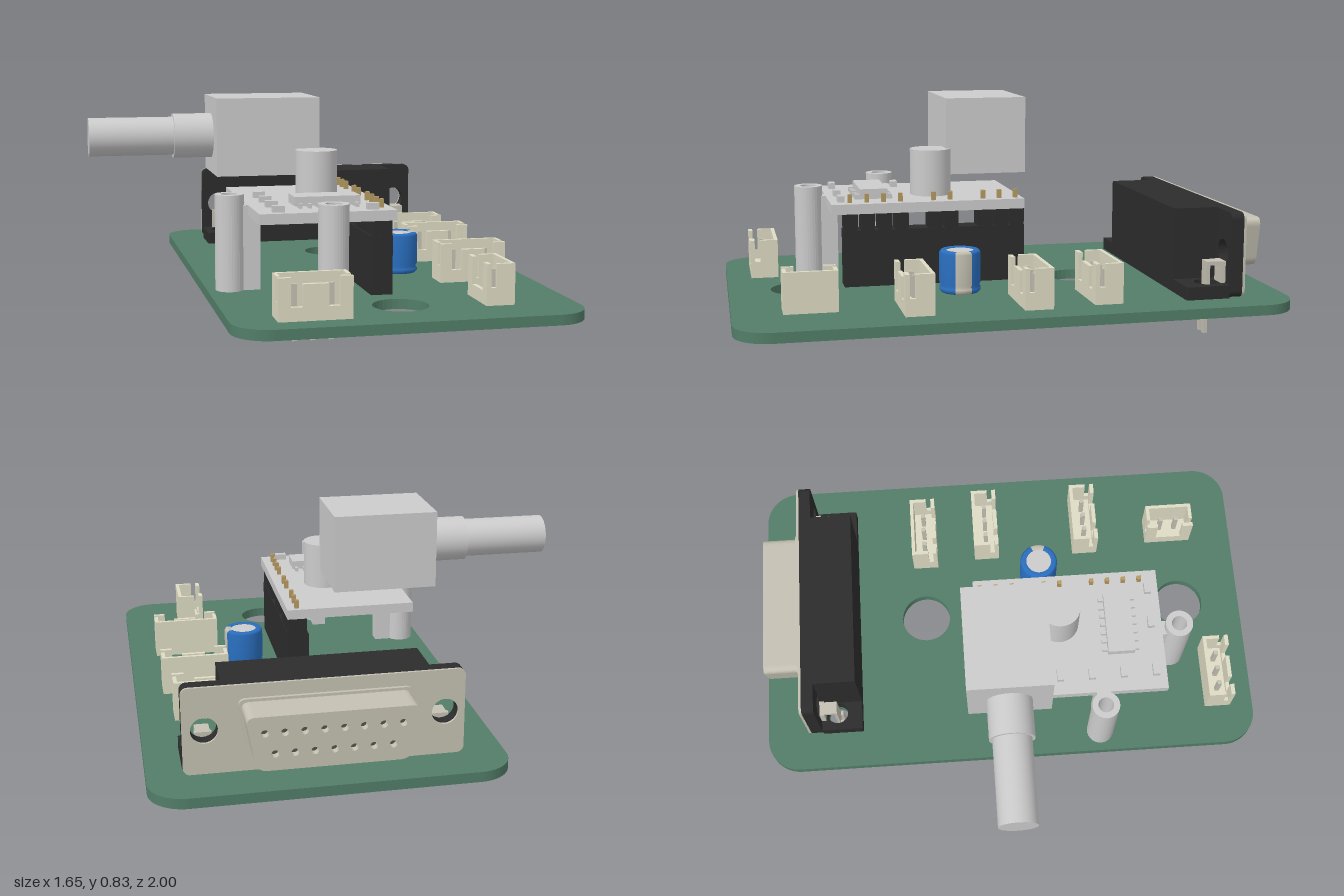
import * as THREE from 'three';

const mat = (color) => new THREE.MeshStandardMaterial({ color });
const GREY = mat(0xcccccc), GREEN = mat(0x527d68), BLACK = mat(0x2c2c2c), CREAM = mat(0xdedcc4);
const METAL = mat(0xc4c0b2), GOLD = mat(0xb59a62), BLUE = mat(0x2a6fc0), DARK = mat(0x55534c);
const TOP = 0.137; // upper face of the base board

function add(parent, name, geometry, material) {
  const mesh = new THREE.Mesh(geometry, material);
  mesh.name = name;
  parent.add(mesh);
  return mesh;
}

// Box given by its limits on each axis
function box(parent, name, material, x0, x1, y0, y1, z0, z1) {
  const mesh = add(parent, name, new THREE.BoxGeometry(x1 - x0, y1 - y0, z1 - z0), material);
  mesh.position.set((x0 + x1) / 2, (y0 + y1) / 2, (z0 + z1) / 2);
  return mesh;
}

// Square pin, centred on x, z
function pin(parent, material, x, z, y0, y1, w = 0.016) {
  return box(parent, 'pin', material, x - w / 2, x + w / 2, y0, y1, z - w / 2, z + w / 2);
}

function cylinder(parent, name, material, r, x, z, y0, y1) {
  const mesh = add(parent, name, new THREE.CylinderGeometry(r, r, y1 - y0, 40), material);
  mesh.position.set(x, (y0 + y1) / 2, z);
  return mesh;
}

function roundedRect(x0, x1, y0, y1, r) {
  const s = new THREE.Shape();
  s.absarc(x1 - r, y1 - r, r, 0, Math.PI / 2);
  s.absarc(x0 + r, y1 - r, r, Math.PI / 2, Math.PI);
  s.absarc(x0 + r, y0 + r, r, Math.PI, Math.PI * 1.5);
  s.absarc(x1 - r, y0 + r, r, Math.PI * 1.5, Math.PI * 2);
  s.closePath();
  return s;
}

function punch(shape, x, y, r) {
  shape.holes.push(new THREE.Path().absarc(x, y, r, 0, Math.PI * 2, true));
}

const extrude = (shape, depth) => new THREE.ExtrudeGeometry(shape, { depth, bevelEnabled: false, curveSegments: 16 });

// Horizontal slab: shape y is -z
function slab(parent, name, material, shape, y0, y1) {
  const mesh = add(parent, name, extrude(shape, y1 - y0).rotateX(-Math.PI / 2), material);
  mesh.position.y = y0;
  return mesh;
}

// Upright plate in the xy plane
function plate(parent, name, material, shape, z0, z1) {
  const mesh = add(parent, name, extrude(shape, z1 - z0), material);
  mesh.position.z = z0;
  return mesh;
}

const POSTS = [{ x: -0.34, z: 0.36, turn: 0 }, { x: -0.025, z: 0.68, turn: Math.PI / 2 }];
const SCREWS = [-0.21, 0.62];

function makeBoard(root) {
  const s = roundedRect(-0.425, 0.82, -1, 1, 0.13);
  punch(s, 0.2, 0.33, 0.1);
  punch(s, 0.2, -0.745, 0.1);
  POSTS.forEach((p) => punch(s, p.x, -p.z, 0.03));
  SCREWS.forEach((x) => punch(s, x, 0.71, 0.042));
  slab(root, 'baseBoard', GREEN, s, 0.1, TOP);
}

// Shrouded header with a slotted front wall (front is +z)
function makeHeader(root, x, z, pins, turn = 0) {
  const g = new THREE.Group();
  g.name = 'wireConnector';
  g.position.set(x, 0, z);
  g.rotation.y = turn;
  root.add(g);
  const w = (pins * 0.064 + 0.064) / 2, t = 0.014, y1 = 0.285;
  box(g, 'floor', CREAM, -w, w, TOP, 0.165, -0.052, 0.052);
  box(g, 'backWall', CREAM, -w, w, 0.165, y1, -0.052, -0.052 + t);
  for (const s of [-1, 1]) {
    const cx = s * (w - t / 2);
    box(g, 'sideWall', CREAM, cx - t / 2, cx + t / 2, 0.165, y1, -0.038, 0.016);
    box(g, 'sideWallLower', CREAM, cx - t / 2, cx + t / 2, 0.165, 0.2, 0.016, 0.038);
    box(g, 'frontCorner', CREAM, s * (w - 0.022) - 0.022, s * (w - 0.022) + 0.022, 0.165, y1, 0.036, 0.052);
  }
  box(g, 'frontSill', CREAM, -w + 0.04, w - 0.04, 0.165, 0.185, 0.036, 0.052);
  if (pins > 2) box(g, 'frontMiddle', CREAM, -0.045, 0.045, 0.185, 0.262, 0.036, 0.052);
  for (let i = 0; i < pins; i++) pin(g, METAL, (i - (pins - 1) / 2) * 0.064, 0, 0.06, 0.255, 0.017);
}

function makePortConnector(root) {
  const g = new THREE.Group();
  g.name = 'portConnector';
  root.add(g);
  const flange = () => {
    const s = roundedRect(-0.28, 0.695, TOP, 0.45, 0.025);
    SCREWS.forEach((x) => punch(s, x, 0.295, 0.047));
    return s;
  };
  plate(g, 'flange', BLACK, flange(), -0.822, -0.775);
  plate(g, 'metalFace', METAL, flange(), -0.832, -0.822);
  box(g, 'housing', BLACK, -0.165, 0.555, TOP, 0.45, -0.775, -0.61);
  SCREWS.forEach((x) => {
    const [x0, x1] = x < 0 ? [-0.28, -0.165] : [0.555, 0.695];
    const foot = roundedRect(x0, x1, 0.61, 0.775, 0.004);
    punch(foot, x, 0.71, 0.042);
    slab(g, 'foot', BLACK, foot, TOP, 0.185);
    // Board clip with two prongs
    box(g, 'clip', METAL, x - 0.03, x + 0.03, 0.185, 0.265, -0.775, -0.757);
    box(g, 'clipTop', METAL, x - 0.025, x + 0.025, 0.25, 0.265, -0.775, -0.705);
    box(g, 'clipFront', METAL, x - 0.025, x + 0.025, 0.1, 0.25, -0.717, -0.705);
    for (const s of [-1, 1]) box(g, 'clipProng', METAL, x + s * 0.019 - 0.009, x + s * 0.019 + 0.009, 0, 0.12, -0.71, -0.694);
  });
  // D-shaped shell, wider at the top
  const dShape = (grow) => {
    const cx = 0.205, a = 0.295 + grow, b = 0.258 + grow, y0 = 0.2 - grow, y1 = 0.392 + grow, r = 0.035;
    const s = new THREE.Shape();
    s.moveTo(cx - b + r, y0);
    s.lineTo(cx + b - r, y0);
    s.quadraticCurveTo(cx + b, y0, cx + b + 0.007, y0 + r);
    s.lineTo(cx + a - 0.007, y1 - r);
    s.quadraticCurveTo(cx + a, y1, cx + a - r, y1);
    s.lineTo(cx - a + r, y1);
    s.quadraticCurveTo(cx - a, y1, cx - a + 0.007, y1 - r);
    s.lineTo(cx - b - 0.007, y0 + r);
    s.quadraticCurveTo(cx - b, y0, cx - b + r, y0);
    return s;
  };
  const sockets = [];
  for (const [n, y, z] of [[8, 0.333, -0.625], [7, 0.259, -0.7]]) {
    for (let i = 0; i < n; i++) {
      const x = 0.205 + (i - (n - 1) / 2) * 0.066;
      sockets.push([x, y]);
      pin(g, METAL, x, z, 0.04, TOP);
    }
  }
  const shell = dShape(0);
  sockets.forEach(([x, y]) => punch(shell, x, y, 0.013));
  plate(g, 'shell', METAL, shell, -0.978, -0.84);
  plate(g, 'shellCollar', METAL, dShape(0.01), -0.845, -0.832);
  plate(g, 'socketBottom', DARK, dShape(-0.01), -0.95, -0.85);
}

function makeModule(root) {
  const g = new THREE.Group();
  g.name = 'controlModule';
  root.add(g);
  box(g, 'moduleBoard', GREY, -0.275, 0.225, 0.415, 0.453, -0.125, 0.615);
  // Socket strip and its pins
  box(g, 'socketStrip', BLACK, 0.142, 0.222, TOP, 0.352, -0.125, 0.57);
  for (let i = 0; i < 11; i++) {
    const z = -0.098 + i * 0.064;
    pin(g, GOLD, 0.185, z, 0.06, 0.11);
    if (i === 3 || i === 6) continue;
    box(g, 'pinBlock', BLACK, 0.148, 0.22, 0.352, 0.415, z - 0.026, z + 0.026);
    pin(g, GOLD, 0.185, z, 0.44, 0.485);
  }
  // Posts with eyelets and a ledge carrying the module
  POSTS.forEach(({ x, z, turn }) => {
    const p = new THREE.Group();
    p.name = 'supportPost';
    p.position.set(x, 0, z);
    p.rotation.y = turn;
    g.add(p);
    const ring = new THREE.Shape().absarc(0, 0, 0.054, 0, Math.PI * 2);
    punch(ring, 0, 0, 0.03);
    slab(p, 'postTube', GREY, ring, TOP, 0.493);
    box(p, 'ledge', GREY, 0.043, 0.11, TOP, 0.415, -0.028, 0.028);
    box(p, 'neck', GREY, 0.043, 0.08, 0.415, 0.453, -0.028, 0.028);
  });
  // Chip with legs
  box(g, 'chip', GREY, -0.125, 0.12, 0.46, 0.493, 0.39, 0.495);
  for (let i = 0; i < 7; i++) {
    const x = -0.105 + i * 0.035;
    box(g, 'chipLegs', GREY, x - 0.006, x + 0.006, 0.45, 0.47, 0.37, 0.515);
  }
  for (const [x, z] of [[-0.2, 0.195], [-0.2, 0.32], [-0.2, 0.445], [-0.2, 0.572], [0, 0.572], [0.145, 0.572]]) {
    box(g, 'smallComponent', GREY, x - 0.022, x + 0.022, 0.45, 0.476, z - 0.013, z + 0.013);
  }
  cylinder(g, 'roundSensor', GREY, 0.08, 0.022, 0.205, 0.45, 0.632);
  // Dial body with stepped sideways shaft
  box(g, 'dialBody', GREY, -0.352, 0.048, 0.53, 0.828, -0.172, 0.147);
  for (const [name, r, x0, x1] of [['dialBushing', 0.086, -0.502, -0.352], ['dialShaft', 0.074, -0.826, -0.502]]) {
    const m = add(g, name, new THREE.CylinderGeometry(r, r, x1 - x0, 40).rotateZ(Math.PI / 2), GREY);
    m.position.set((x0 + x1) / 2, 0.676, -0.015);
  }
}

function makeCapacitor(root) {
  const g = new THREE.Group();
  g.name = 'capacitor';
  g.position.set(0.365, TOP, 0.157);
  root.add(g);
  const pts = [[0, 0], [0.07, 0], [0.077, 0.008], [0.077, 0.018], [0.071, 0.026], [0.077, 0.036], [0.077, 0.148], [0.07, 0.157], [0.052, 0.157], [0.052, 0.152]]
    .map(([x, y]) => new THREE.Vector2(x, y));
  // Lathe starts at +z, so the light stripe is centred on +x
  const half = 0.42, start = Math.PI / 2 + half;
  add(g, 'sleeve', new THREE.LatheGeometry(pts, 40, start, Math.PI * 2 - 2 * half), BLUE);
  add(g, 'stripe', new THREE.LatheGeometry(pts, 8, Math.PI / 2 - half, 2 * half), METAL);
  cylinder(g, 'canTop', GREY, 0.053, 0, 0, 0.13, 0.153);
  for (const s of [-1, 1]) pin(g, METAL, s * 0.032, 0, -0.06, 0.01);
}

export function createModel() {
  const root = new THREE.Group();
  root.name = 'circuitBoardAssembly';
  makeBoard(root);
  makePortConnector(root);
  makeModule(root);
  makeCapacitor(root);
  for (const [x, z] of [[0.56, -0.32], [0.585, -0.057], [0.585, 0.365], [-0.14, 0.855]]) makeHeader(root, x, z, 3);
  makeHeader(root, 0.54, 0.727, 2, -Math.PI / 2);
  return root;
}
